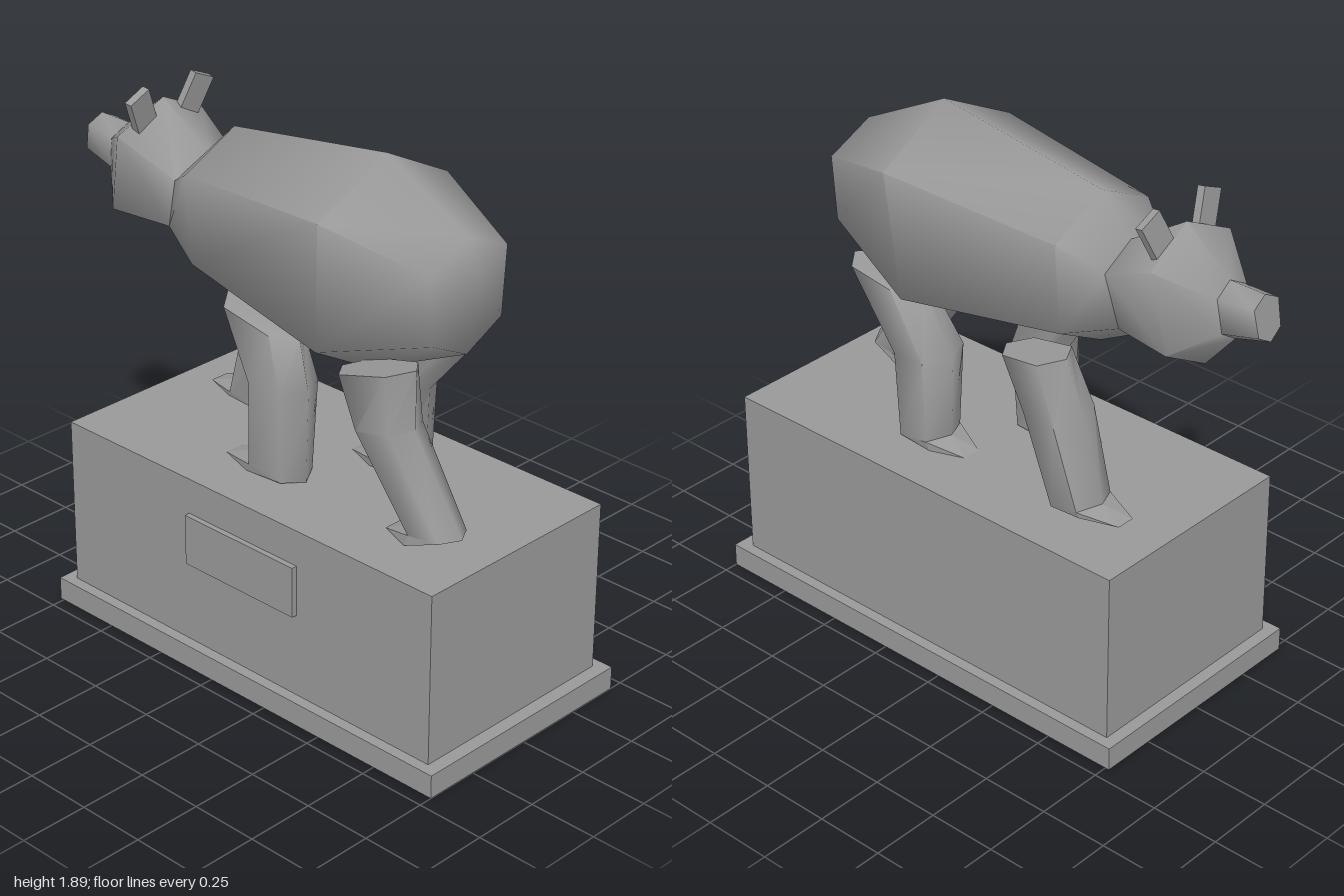
import * as THREE from 'three';
import { toCreasedNormals } from 'three/addons/utils/BufferGeometryUtils.js';
import { ConvexGeometry } from 'three/addons/geometries/ConvexGeometry.js';

// Six-sided ring between two points on the side profile, w = half width
function hexRing([ax, ay, bx, by, w], z = 0) {
  const at = (t, dz) => [ax + (bx - ax) * t, ay + (by - ay) * t, z + dz];
  return [at(0, 0), at(0.2, w), at(0.8, 0.9 * w), at(1, 0), at(0.8, -0.9 * w), at(0.2, -w)];
}

// Skin a row of hex rings and close both ends (optionally with a raised end point)
function loft(sections, z = 0, tip = null) {
  const rings = sections.map(s => hexRing(s, z));
  const pts = rings.flat();
  const idx = [];
  const last = (rings.length - 1) * 6;
  for (let r = 0; r < last; r += 6) {
    for (let i = 0; i < 6; i++) {
      const j = (i + 1) % 6;
      idx.push(r + i, r + j, r + 6 + i, r + j, r + 6 + j, r + 6 + i);
    }
  }
  const middle = ring => [0, 1, 2].map(k => ring.reduce((s, p) => s + p[k], 0) / 6);
  const c0 = pts.push(middle(rings[0])) - 1;
  const c1 = pts.push(tip || middle(rings[rings.length - 1])) - 1;
  for (let i = 0; i < 6; i++) {
    const j = (i + 1) % 6;
    idx.push(c0, j, i, c1, last + i, last + j);
  }
  // Make the faces point outwards whichever way the rings run
  let volume = 0;
  const [a, b, c] = [new THREE.Vector3(), new THREE.Vector3(), new THREE.Vector3()];
  for (let i = 0; i < idx.length; i += 3) {
    a.fromArray(pts[idx[i]]);
    b.fromArray(pts[idx[i + 1]]);
    c.fromArray(pts[idx[i + 2]]);
    volume += a.dot(b.cross(c));
  }
  if (volume < 0) idx.reverse();
  const geo = new THREE.BufferGeometry();
  geo.setAttribute('position', new THREE.Float32BufferAttribute(pts.flat(), 3));
  geo.setIndex(idx);
  return toCreasedNormals(geo, 1.2);
}

export function createModel() {
  const stone = new THREE.MeshStandardMaterial({ color: 0x999999 });
  stone.name = 'grey stone';
  const model = new THREE.Group();
  model.name = 'animalStatue';

  const add = (name, geo, parent = model) => {
    const mesh = new THREE.Mesh(geo, stone);
    mesh.name = name;
    parent.add(mesh);
    return mesh;
  };
  const box = (name, x0, x1, y0, y1, z0, z1) =>
    add(name, new THREE.BoxGeometry(x1 - x0, y1 - y0, z1 - z0))
      .position.set((x0 + x1) / 2, (y0 + y1) / 2, (z0 + z1) / 2);

  // Pedestal
  box('pedestalFoot', -0.765, 1, 0, 0.085, -0.45, 0.45);
  box('pedestal', -0.72, 0.95, 0.085, 0.705, -0.41, 0.41);
  box('blankPlaque', -0.135, 0.365, 0.39, 0.575, 0.41, 0.43);

  // Body, from neck to rump: top point, bottom point, half width
  add('body', loft([
    [-0.44, 1.66, -0.52, 1.355, 0.145],
    [-0.32, 1.79, -0.32, 1.25, 0.225],
    [0.36, 1.89, 0.30, 1.12, 0.30],
    [0.71, 1.71, 0.71, 1.31, 0.18],
  ], 0, [0.76, 1.585, 0]));

  // Head and snout
  add('head', loft([
    [-0.44, 1.66, -0.52, 1.355, 0.145],
    [-0.66, 1.80, -0.75, 1.33, 0.195],
    [-0.835, 1.66, -0.865, 1.465, 0.075],
  ]));
  add('snout', loft([
    [-0.82, 1.66, -0.865, 1.465, 0.07],
    [-0.97, 1.66, -1.0, 1.505, 0.06],
  ]));

  // Ears, leaning outwards and slightly back
  for (const side of [1, -1]) {
    const ear = add(side > 0 ? 'leftEar' : 'rightEar', new THREE.BoxGeometry(0.028, 0.17, 0.09));
    ear.position.set(-0.64, 1.775, side * 0.115);
    ear.rotation.set(side * 0.42, 0, -0.17);
  }

  // Legs: hip, knee and ankle rings as front point, back point, half width; then the toe
  const legs = [
    ['frontLegNear', 0.155, [[-0.2, 1.29, 0.13, 1.22, 0.085], [-0.05, 1.05, 0.17, 1.04, 0.1],
      [-0.07, 0.745, 0.16, 0.705, 0.085]], [-0.18, 0.706]],
    ['frontLegFar', -0.155, [[-0.31, 1.24, -0.05, 1.2, 0.085], [-0.39, 1.04, -0.16, 1.04, 0.1],
      [-0.47, 0.76, -0.275, 0.71, 0.085]], [-0.57, 0.73]],
    ['hindLegNear', 0.165, [[0.33, 1.2, 0.65, 1.29, 0.085], [0.43, 1.04, 0.65, 1.08, 0.09],
      [0.65, 0.745, 0.855, 0.765, 0.075]], [0.56, 0.71]],
    ['hindLegFar', -0.155, [[0.33, 1.26, 0.64, 1.29, 0.085], [0.19, 1.05, 0.42, 1.03, 0.1],
      [0.2, 0.745, 0.41, 0.705, 0.085]], [0.11, 0.706]],
  ];
  for (const [name, z, rings, [tx, ty]] of legs) {
    const leg = new THREE.Group();
    leg.name = name;
    model.add(leg);
    add('leg', loft(rings, z), leg);

    // Flat wedge foot running from the ankle to a narrow toe
    const ankle = rings[2];
    const points = hexRing(ankle, z).map(p => new THREE.Vector3(...p));
    for (const s of [1, -1]) {
      points.push(new THREE.Vector3(tx, ty, z + s * 0.035));
      points.push(new THREE.Vector3(ankle[0] + 0.03, ty, z + s * 0.08));
    }
    add('foot', new ConvexGeometry(points), leg);
  }
  return model;
}
